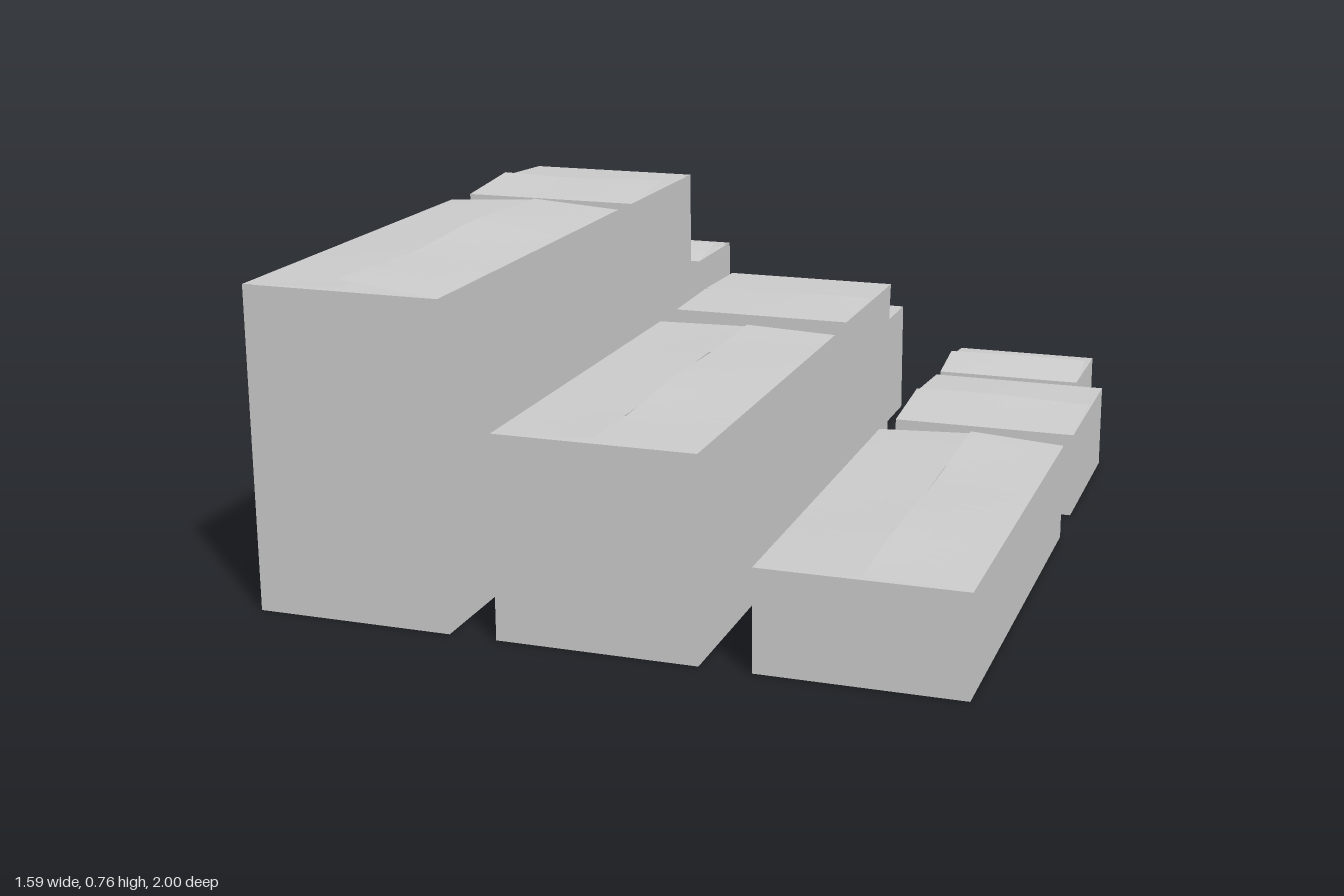
import * as THREE from 'three';

const material = new THREE.MeshStandardMaterial({ color: 0xcccccc, side: THREE.DoubleSide, flatShading: true });

function mesh(geometry, name) {
  const m = new THREE.Mesh(geometry, material);
  m.name = name;
  return m;
}

// Open-topped carton; one rear corner can be pushed in by a dent
function cartonBody(length, depth, height, dent) {
  const g = new THREE.BoxGeometry(length, height, depth, 8, 8, 8);
  const top = g.groups[2];
  const index = Array.from(g.index.array);
  index.splice(top.start, top.count);
  g.setIndex(index);
  g.clearGroups();
  g.translate(0, height / 2, 0);
  const p = g.attributes.position;
  for (let i = 0; i < p.count; i++) {
    const x = p.getX(i) / length + 0.5, y = p.getY(i) / height, z = 0.5 - p.getZ(i) / depth;
    p.setZ(i, p.getZ(i) + dent * x * x * z * Math.sin(Math.PI * y));
  }
  g.computeVertexNormals();
  return mesh(g, 'cartonBody');
}

// Flap hinged on the +z rim, lifting and rippling towards its free edge
function outerFlap(length, rim, reach, height, rise, ripple, phase) {
  const g = new THREE.PlaneGeometry(length, reach, 24, 3).rotateX(-Math.PI / 2);
  const p = g.attributes.position;
  for (let i = 0; i < p.count; i++) {
    const v = 0.5 - p.getZ(i) / reach;
    const wave = ripple * Math.sin(p.getX(i) * 9 + phase);
    p.setXYZ(i, p.getX(i), height + v * (rise + wave), rim - v * reach);
  }
  g.computeVertexNormals();
  return mesh(g, 'outerFlap');
}

// Carton with two outer flaps along its length and two inner end flaps
function carton({ name, x, z, length, depth, height, rise, ripple = 0.004, turned = false, dent = 0 }, i) {
  const box = new THREE.Group();
  box.name = name;
  box.add(cartonBody(length, depth, height, dent));
  const innerReach = Math.min(depth / 2, length / 2) - 0.002;
  for (const s of [-1, 1]) {
    const inner = mesh(new THREE.PlaneGeometry(innerReach, depth - 0.01).rotateX(-Math.PI / 2), 'innerFlap');
    inner.position.set(s * (length - innerReach) / 2, height - 0.006, 0);
    box.add(inner);
  }
  const front = outerFlap(length, depth / 2, depth / 2 - 0.001, height, rise[0], ripple, i * 1.7);
  const back = outerFlap(length, depth / 2, depth / 2 - 0.001, height, rise[1], ripple * 0.6, i * 2.3 + 1);
  back.rotation.y = Math.PI;
  box.add(front, back);
  box.position.set(x, 0, z);
  if (turned) box.rotation.y = Math.PI / 2;
  return box;
}

export function createModel() {
  const model = new THREE.Group();
  model.name = 'cardboardBoxes';

  // Long cartons in front, their seams running front to back
  const long = { z: 0.49, length: 1.015, depth: 0.452, turned: true };
  // Square cartons in the middle
  const square = { length: 0.448, depth: 0.45 };
  // Small cartons at the back, lids partly lifted
  const small = { length: 0.375, depth: 0.272 };

  [
    { ...long, name: 'tallLongBox', x: -0.56, height: 0.732, rise: [0.021, 0.011], ripple: 0.006 },
    { ...long, name: 'mediumLongBox', x: 0, height: 0.456, rise: [0.009, 0.007] },
    { ...long, name: 'lowLongBox', x: 0.567, height: 0.229, rise: [0.011, 0.008] },
    { ...square, name: 'tallSquareBox', x: -0.574, z: -0.375, height: 0.722, rise: [0.02, 0.013] },
    { ...square, name: 'mediumSquareBox', x: -0.006, z: -0.375, height: 0.456, rise: [0.009, 0.006], dent: 0.02 },
    { ...square, name: 'lowSquareBox', x: 0.565, z: -0.408, height: 0.207, rise: [0.02, 0.012] },
    { ...small, name: 'tallSmallBox', x: -0.553, z: -0.848, height: 0.456, rise: [0.027, 0.013], ripple: 0.002 },
    { ...small, name: 'mediumSmallBox', x: -0.032, z: -0.864, height: 0.299, rise: [0.009, 0.005], ripple: 0.002 },
    { ...small, name: 'lowSmallBox', x: 0.518, z: -0.864, height: 0.19, rise: [0.026, 0.012], ripple: 0.002 },
  ].forEach((spec, i) => model.add(carton(spec, i)));

  return model;
}
